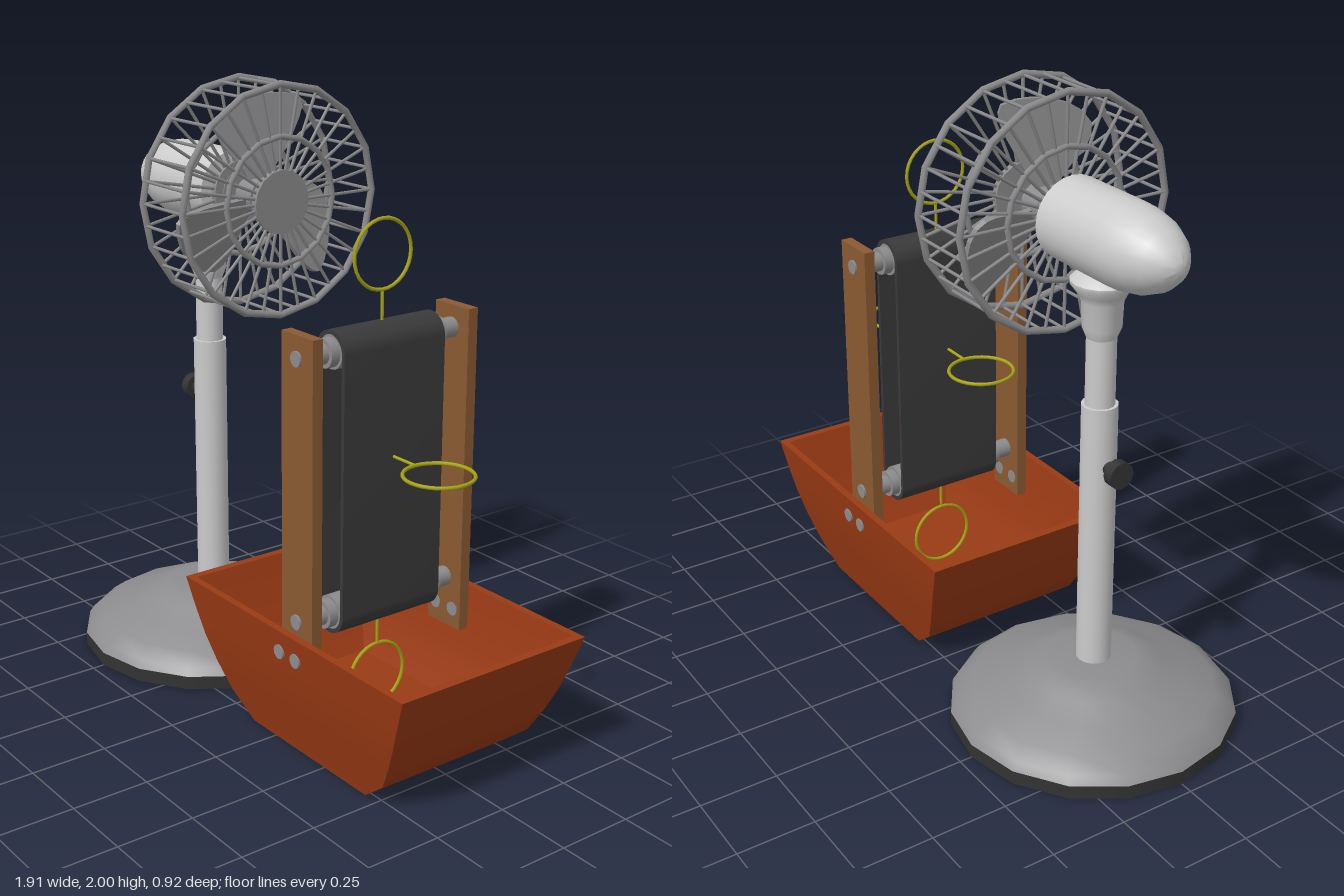
import * as THREE from 'three';
import { toCreasedNormals } from 'three/addons/utils/BufferGeometryUtils.js';

const material = (color) => new THREE.MeshStandardMaterial({ color });
const GREY = material(0xcccccc), STEEL = material(0x8c8c8e), DARK = material(0x333333);
const BELT = material(0x3a3a3a), WOOD = material(0x8b5a32), CLAY = material(0x9a3a14), GOLD = material(0xa8a414);

function add(parent, name, geometry, mat, x = 0, y = 0, z = 0) {
  const mesh = new THREE.Mesh(geometry, mat);
  mesh.name = name;
  mesh.position.set(x, y, z);
  parent.add(mesh);
  return mesh;
}

function group(parent, name, x = 0, y = 0, z = 0) {
  const g = new THREE.Group();
  g.name = name;
  g.position.set(x, y, z);
  parent.add(g);
  return g;
}

// Cylinder lying along the chosen axis
function rod(radius, length, axis = 'y', sides = 16) {
  const g = new THREE.CylinderGeometry(radius, radius, length, sides);
  if (axis === 'x') g.rotateZ(-Math.PI / 2);
  if (axis === 'z') g.rotateX(Math.PI / 2);
  return g;
}

const lathe = (points, sides) =>
  toCreasedNormals(new THREE.LatheGeometry(points.map(([r, y]) => new THREE.Vector2(r, y)), sides), 0.75);

// Rectangular vessel from stacked cross-sections [height, half width, half depth]
function rectLoft(rings) {
  const corners = [[1, 1], [1, -1], [-1, -1], [-1, 1]];
  const at = ([y, hx, hz], k) => [hx * corners[k % 4][0], y, hz * corners[k % 4][1]];
  const pos = [];
  for (let i = 0; i < rings.length - 1; i++) {
    for (let k = 0; k < 4; k++) {
      const a = at(rings[i], k), b = at(rings[i], k + 1);
      const c = at(rings[i + 1], k + 1), d = at(rings[i + 1], k);
      pos.push(...a, ...b, ...c, ...a, ...c, ...d);
    }
  }
  const g = new THREE.BufferGeometry();
  g.setAttribute('position', new THREE.Float32BufferAttribute(pos, 3));
  return toCreasedNormals(g, 0.4);
}

function buildStand(root) {
  const stand = group(root, 'fanStand', -0.5);
  add(stand, 'baseRim', rod(0.458, 0.045, 'y', 16), DARK, 0, 0.0225);
  add(stand, 'base', lathe([[0.458, 0.045], [0.44, 0.07], [0.39, 0.105], [0.3, 0.135],
    [0.22, 0.178], [0.17, 0.2], [0.14, 0.207], [0, 0.207]], 16), STEEL);
  add(stand, 'lowerPost', rod(0.056, 0.89), GREY, 0, 0.645);
  add(stand, 'upperPost', rod(0.046, 0.3), GREY, 0, 1.2);
  add(stand, 'neck', lathe([[0, 1.305], [0.046, 1.305], [0.06, 1.34], [0.063, 1.42],
    [0.075, 1.445], [0.097, 1.475], [0.097, 1.485], [0.06, 1.515], [0, 1.515]], 16), GREY);
  add(stand, 'knobStem', rod(0.022, 0.05, 'x'), DARK, -0.07, 0.897);
  add(stand, 'knob', rod(0.043, 0.034, 'x', 12), DARK, -0.1, 0.897);
}

function bladeGeometry() {
  const s = new THREE.Shape();
  s.moveTo(-0.025, 0.04);
  s.bezierCurveTo(-0.06, 0.13, -0.15, 0.16, -0.135, 0.24);
  s.bezierCurveTo(-0.1, 0.32, 0.06, 0.345, 0.135, 0.31);
  s.bezierCurveTo(0.17, 0.27, 0.09, 0.16, 0.025, 0.04);
  const g = new THREE.ExtrudeGeometry(s, { depth: 0.016, bevelEnabled: false, curveSegments: 6 });
  return g.translate(0, 0, -0.008).rotateY(-0.33);
}

// Fan head is built along local z, then turned to face +x
function buildFan(root) {
  const fan = group(root, 'fanHead', 0, 1.622, 0);
  fan.rotation.y = Math.PI / 2;
  const motor = lathe([[0, -0.842], [0.022, -0.838], [0.055, -0.815], [0.088, -0.775],
    [0.114, -0.715], [0.126, -0.65], [0.128, -0.6], [0.128, -0.345], [0, -0.345]], 24);
  add(fan, 'motorHousing', motor.rotateX(Math.PI / 2), GREY);
  add(fan, 'shaftCollar', rod(0.072, 0.05, 'z'), STEEL, 0, 0, -0.325);
  add(fan, 'shaft', rod(0.025, 0.18, 'z'), STEEL, 0, 0, -0.24);
  add(fan, 'bladeHub', rod(0.06, 0.08, 'z'), STEEL, 0, 0, -0.21);
  const blade = bladeGeometry();
  for (let i = 0; i < 3; i++) {
    add(fan, 'blade', blade, STEEL, 0, 0, -0.21).rotation.z = i * Math.PI * 2 / 3;
  }

  const cage = group(fan, 'cage');
  const outer = new THREE.TorusGeometry(0.364, 0.012, 6, 16);
  const inner = new THREE.TorusGeometry(0.204, 0.01, 6, 16);
  const spoke = rod(0.0055, 0.27, 'y', 5).translate(0, 0.225, 0);
  const bar = rod(0.0055, 0.225, 'z', 5).translate(0, 0.361, 0);
  for (const z of [-0.314, -0.09]) {
    add(cage, 'outerRing', outer, STEEL, 0, 0, z);
    add(cage, 'innerRing', inner, STEEL, 0, 0, z);
    add(cage, 'centreDisc', rod(0.102, 0.022, 'z'), STEEL, 0, 0, z);
    for (let i = 0; i < 32; i++) add(cage, 'spoke', spoke, STEEL, 0, 0, z).rotation.z = i * Math.PI / 16;
  }
  for (let i = 0; i < 32; i++) add(cage, 'cageBar', bar, STEEL, 0, 0, -0.202).rotation.z = i * Math.PI / 16;
}

const TOP = 1.285, LOW = 0.465;

function stadium(Type, r) {
  const s = new Type();
  s.absarc(0, TOP, r, 0, Math.PI, false);
  s.absarc(0, LOW, r, Math.PI, Math.PI * 2, false);
  s.closePath();
  return s;
}

// Ring on a stem, pointing up from its foot and lying in the yz plane
function buildHoop(parent, x, y, turn, flat) {
  const hoop = group(parent, 'hoop', x, y);
  hoop.rotation.z = turn;
  const ring = add(hoop, 'ring', new THREE.TorusGeometry(0.106, 0.006, 6, 32), GOLD, 0, 0.203);
  ring.rotation.y = Math.PI / 2;
  add(hoop, 'stem', rod(0.005, 0.105, 'y', 8), GOLD, 0, 0.0475);
}

function buildConveyor(root) {
  const unit = group(root, 'beltUnit', 0.415);
  // Hollow tub with curved sides
  add(unit, 'tub', rectLoft([[0, 0, 0], [0, 0.285, 0.27], [0.08, 0.385, 0.288], [0.165, 0.434, 0.31],
    [0.25, 0.474, 0.328], [0.34, 0.508, 0.342], [0.435, 0.542, 0.354],
    [0.435, 0.515, 0.33], [0.34, 0.48, 0.315], [0.25, 0.444, 0.295], [0.165, 0.402, 0.268],
    [0.08, 0.345, 0.228], [0.08, 0, 0]]), CLAY);

  // Posts, bolts and axle fittings on both sides
  for (const side of [-1, 1]) {
    add(unit, 'post', new THREE.BoxGeometry(0.15, 1.055, 0.036), WOOD, 0, 0.8275, side * 0.293);
    for (const x of [-0.04, 0.04]) add(unit, 'tubBolt', rod(0.023, 0.08, 'z', 12), STEEL, x, 0.363, side * 0.312);
    for (const y of [TOP, LOW]) {
      add(unit, 'axlePin', rod(0.024, 0.05, 'z', 12), STEEL, 0, y, side * 0.293);
      add(unit, 'axle', rod(0.032, 0.09, 'z'), STEEL, 0, y, side * 0.232);
      add(unit, 'axleCollar', rod(0.045, 0.03, 'z'), STEEL, 0, y, side * 0.204);
    }
  }

  // Rollers and the belt around them
  for (const y of [TOP, LOW]) add(unit, 'roller', rod(0.053, 0.376, 'z', 20), STEEL, 0, y);
  const loop = stadium(THREE.Shape, 0.066);
  loop.holes.push(stadium(THREE.Path, 0.053));
  const belt = new THREE.ExtrudeGeometry(loop, { depth: 0.38, bevelEnabled: false, curveSegments: 12 });
  add(unit, 'belt', toCreasedNormals(belt.translate(0, 0, -0.19), 0.6), BELT);

  // Hoops spaced around the belt
  buildHoop(unit, 0, TOP + 0.06, 0);
  buildHoop(unit, 0, LOW - 0.06, Math.PI);
  buildHoop(unit, 0.066, 0.943, -Math.PI / 2);
  buildHoop(unit, -0.066, 0.943, Math.PI / 2);
}

export function createModel() {
  const root = new THREE.Group();
  root.name = 'fanAndBeltUnit';
  buildStand(root);
  buildFan(root);
  buildConveyor(root);
  return root;
}
